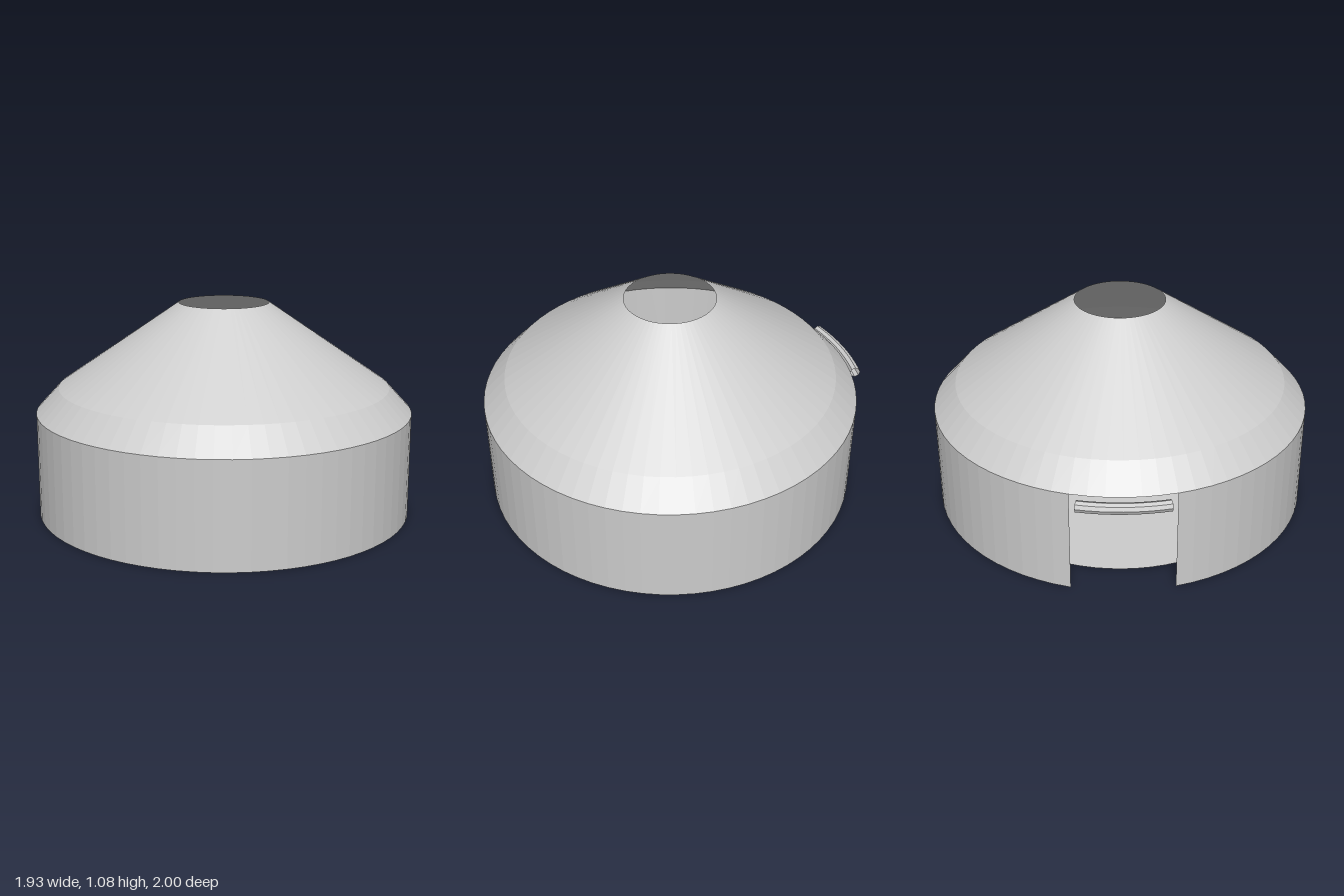
import * as THREE from 'three';

const deg = THREE.MathUtils.degToRad;

export function createModel() {
  const canvas = new THREE.MeshStandardMaterial({
    name: 'lightGreyCanvas', color: 0xcccccc, side: THREE.DoubleSide, flatShading: true,
  });
  const tent = new THREE.Group();
  tent.name = 'roundTent';
  tent.position.z = 0.033; // leaves room for the rolled door at the back

  const add = (name, geometry, y) => {
    const mesh = new THREE.Mesh(geometry, canvas);
    mesh.name = name;
    mesh.position.y = y;
    tent.add(mesh);
  };

  const radius = 0.966, wallHeight = 0.53, shoulderY = 0.655, topY = 1.08;

  // Thin wall, open over 30 degrees at the back for the doorway
  add('wall', new THREE.CylinderGeometry(radius, radius, wallHeight, 66, 1, true, deg(-165), deg(330)), wallHeight / 2);

  // Roof in two slopes, with an open smoke hole
  const slope = (name, r0, y0, r1, y1) =>
    add(name, new THREE.CylinderGeometry(r1, r0, y1 - y0, 72, 1, true), (y0 + y1) / 2);
  slope('lowerRoof', radius, wallHeight, 0.85, shoulderY);
  slope('upperRoof', 0.85, shoulderY, 0.23, topY);

  // Floor disc, smaller than the wall ring
  add('floor', new THREE.CircleGeometry(0.797, 72).rotateX(-Math.PI / 2), 0);

  // Rolled-up door: an open tube curved along the eave
  const arc = deg(25);
  add('rolledDoor', new THREE.TorusGeometry(1.005, 0.028, 8, 8, arc)
    .rotateZ(Math.PI / 2 - arc / 2).rotateX(-Math.PI / 2), 0.497);

  const model = new THREE.Group();
  model.name = 'tentModel';
  model.add(tent);
  return model;
}
